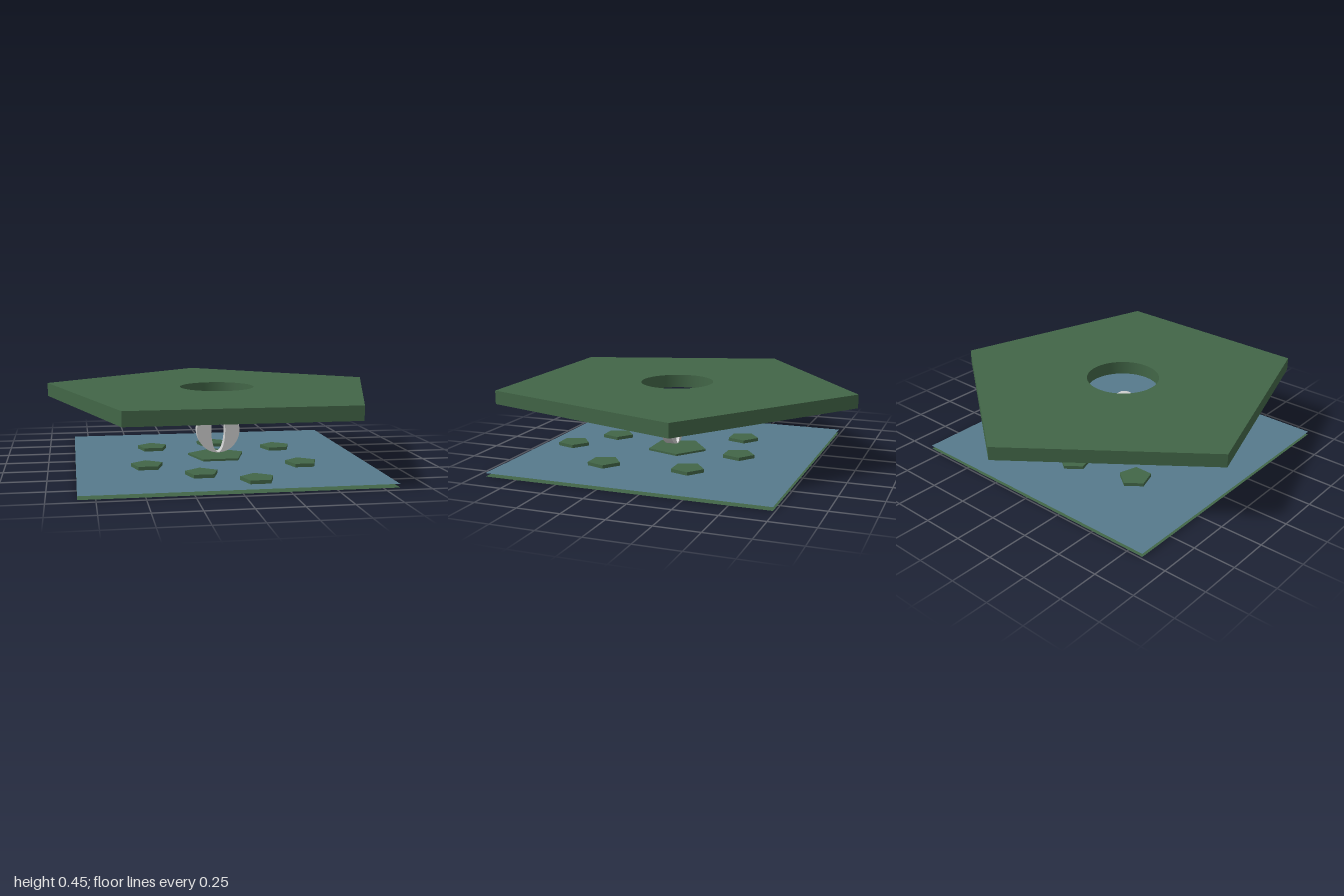
import * as THREE from 'three';
import { toCreasedNormals } from 'three/addons/utils/BufferGeometryUtils.js';

const green = new THREE.MeshStandardMaterial({ color: 0x426647 });
const groundGreen = new THREE.MeshStandardMaterial({ color: 0x426647, side: THREE.DoubleSide });
const blue = new THREE.MeshStandardMaterial({ color: 0x567a8c, side: THREE.DoubleSide });
const grey = new THREE.MeshStandardMaterial({ color: 0xcccccc });

const CENTRE_Z = 0.105;

// Pentagon with its tip at +y in the shape plane, slightly longer than regular
function pentagon(radius) {
  const points = [];
  for (let i = 0; i < 5; i++) {
    const a = Math.PI / 2 + (i * Math.PI * 2) / 5;
    points.push(new THREE.Vector2(radius * Math.cos(a), radius * 1.051 * Math.sin(a)));
  }
  return new THREE.Shape(points);
}

function extrude(shape, depth) {
  const geometry = new THREE.ExtrudeGeometry(shape, { depth, bevelEnabled: false, curveSegments: 48 });
  return toCreasedNormals(geometry, 0.6);
}

export function createModel() {
  const model = new THREE.Group();

  function add(name, geometry, material, x, y, z) {
    const mesh = new THREE.Mesh(geometry, material);
    mesh.name = name;
    mesh.position.set(x, y, z);
    model.add(mesh);
  }

  // Lays an extruded shape flat, its base at height y and its tip to the back
  function addFlat(name, shape, thickness, x, y, z) {
    add(name, extrude(shape, thickness).rotateX(-Math.PI / 2), green, x, y, z);
  }

  // Two paper-thin square sheets
  const sheet = new THREE.PlaneGeometry(1.684, 1.684).rotateX(-Math.PI / 2);
  add('groundSheet', sheet, groundGreen, 0, 0, CENTRE_Z);
  add('waterSheet', sheet, blue, 0, 0.02, CENTRE_Z);

  // Large pentagonal slab with a round opening
  const slab = pentagon(1.0515);
  slab.holes.push(new THREE.Path().absarc(0, 0, 0.219, 0, Math.PI * 2, true));
  addFlat('pentagonSlab', slab, 0.08, 0, 0.37, CENTRE_Z);

  // Thin pentagon under the opening
  addFlat('centrePad', pentagon(0.176), 0.012, 0, 0.028, CENTRE_Z);

  // Small pads scattered around it
  const pads = [
    [-0.16, 0.58], [0.115, 0.76], [0.45, 0.39], [0.41, -0.115],
    [0.03, -0.3], [-0.36, -0.21], [-0.44, 0.33],
  ];
  for (const [x, z] of pads) addFlat('smallPad', pentagon(0.0947), 0.02, x, 0.022, z);

  // Upright disc with a tall slit
  const disc = new THREE.Shape().absellipse(0, 0, 0.128, 0.134, 0, Math.PI * 2, false);
  disc.holes.push(new THREE.Path().absellipse(0, 0, 0.042, 0.132, 0, Math.PI * 2, true));
  add('slitDisc', extrude(disc, 0.06), grey, 0, 0.195, 0.103);

  return model;
}
